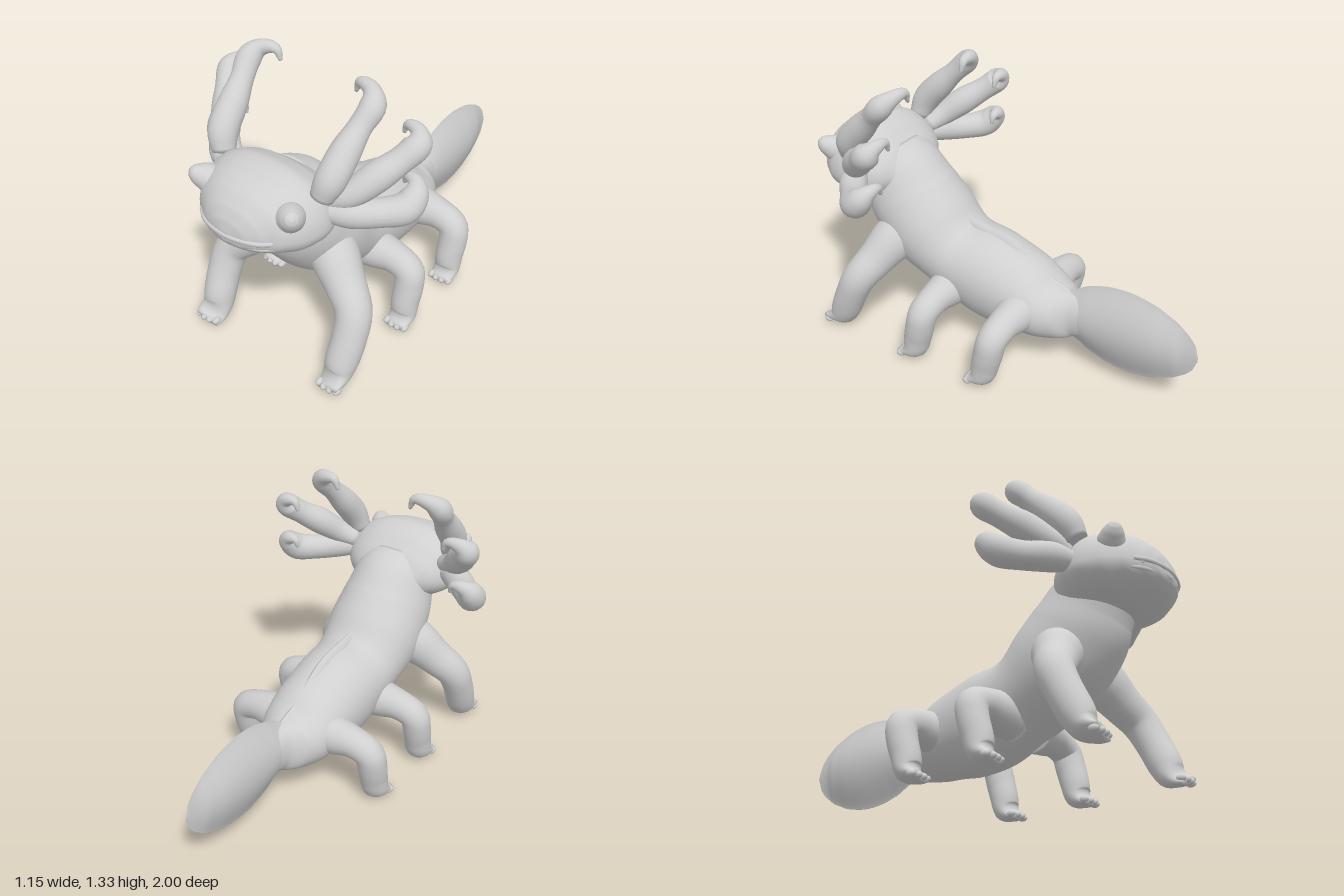
import * as THREE from 'three';

const skin = new THREE.MeshStandardMaterial({ color: 0xcfcfcf });
skin.name = 'grey skin';

function add(parent, name, geometry) {
  const mesh = new THREE.Mesh(geometry, skin);
  mesh.name = name;
  parent.add(mesh);
  return mesh;
}

// Smooth skin through sections [x, y, z, half width, height up, height down].
// power 1 gives an ellipse, above 1 a sharp-edged blade.
function sweep(sections, { ref = [1, 0, 0], power = 1, rings = 48, sides = 32 } = {}) {
  const path = new THREE.CatmullRomCurve3(sections.map(s => new THREE.Vector3(s[0], s[1], s[2])));
  const size = new THREE.CatmullRomCurve3(
    sections.map(s => new THREE.Vector3(s[3], s[4] ?? s[3], s[5] ?? s[4] ?? s[3])), false, 'catmullrom', 0.4);
  const side = new THREE.Vector3(...ref), positions = [], index = [];
  for (let i = -1; i <= rings + 1; i++) {
    const t = Math.min(Math.max(i / rings, 0), 1);
    const cap = i < 0 || i > rings ? 0 : 1;
    const p = path.getPoint(t), tangent = path.getTangent(t), r = size.getPoint(t);
    side.addScaledVector(tangent, -side.dot(tangent)).normalize();
    const up = side.clone().cross(tangent);
    for (let j = 0; j < sides; j++) {
      const a = j / sides * Math.PI * 2, c = Math.cos(a), s = Math.sin(a);
      const w = Math.sign(c) * Math.abs(c) ** power * Math.max(r.x, 0) * cap;
      const h = s * Math.max(s > 0 ? r.y : r.z, 0) * cap;
      const v = p.clone().addScaledVector(side, w).addScaledVector(up, h);
      positions.push(v.x, v.y, v.z);
    }
  }
  for (let i = 0; i < rings + 2; i++) {
    for (let j = 0; j < sides; j++) {
      const k = (j + 1) % sides;
      const a = i * sides + j, b = i * sides + k, c = a + sides, d = b + sides;
      index.push(a, c, b, b, c, d);
    }
  }
  const g = new THREE.BufferGeometry();
  g.setAttribute('position', new THREE.Float32BufferAttribute(positions, 3));
  g.setIndex(index);
  g.computeVertexNormals();
  return g;
}

const mirror = (sections, s) => sections.map(([x, ...rest]) => [x * s, ...rest]);

// Leg with four small toes at the front of the foot
function leg(parent, name, sections, s) {
  const group = new THREE.Group();
  group.name = name;
  add(group, 'limb', sweep(mirror(sections, s), { ref: [0, 0, 1], rings: 36, sides: 24 }));
  const [fx, , fz] = sections[sections.length - 1];
  for (let i = 0; i < 4; i++) {
    const u = (i - 1.5) / 1.5;
    const toe = add(group, 'toe', new THREE.SphereGeometry(0.016, 12, 8));
    toe.scale.set(1, 1, 1.5);
    toe.position.set(s * fx + u * 0.048, 0.028, fz - 0.004 - Math.abs(u) * 0.012);
  }
  parent.add(group);
}

export function createModel() {
  const model = new THREE.Group();
  model.name = 'salamander';

  // Neck, chest, belly and tail root
  add(model, 'body', sweep([
    [0, 0.83, 0.69, 0.19, 0.17, 0.15],
    [0, 0.74, 0.61, 0.205, 0.215, 0.19],
    [0, 0.64, 0.54, 0.225, 0.235, 0.215],
    [0, 0.53, 0.43, 0.235, 0.23, 0.225],
    [0, 0.425, 0.27, 0.215, 0.192, 0.2],
    [0, 0.37, 0.08, 0.21, 0.215, 0.235],
    [0, 0.33, -0.1, 0.2, 0.195, 0.213],
    [0, 0.295, -0.23, 0.185, 0.155, 0.158],
    [0, 0.29, -0.32, 0.14, 0.13, 0.135],
    [0, 0.295, -0.38, 0.075, 0.118],
    [0, 0.295, -0.46, 0.055, 0.1],
    [0, 0.3, -0.57, 0.02, 0.05],
  ], { rings: 88, sides: 48 }));

  // Broad head, widest low at the cheeks
  add(model, 'head', sweep([
    [0, 0.81, 0.99, 0.025, 0.02, 0.025],
    [0, 0.81, 0.975, 0.1, 0.07, 0.05],
    [0, 0.81, 0.945, 0.16, 0.12, 0.075],
    [0, 0.81, 0.89, 0.23, 0.17, 0.1],
    [0, 0.81, 0.81, 0.285, 0.203, 0.126],
    [0, 0.81, 0.72, 0.305, 0.217, 0.13],
    [0, 0.81, 0.64, 0.285, 0.185, 0.13],
    [0, 0.81, 0.57, 0.235, 0.13, 0.11],
    [0, 0.81, 0.51, 0.15, 0.06, 0.06],
  ], { rings: 56, sides: 48, power: 0.84 }));

  // Two lips with the mouth slit and small teeth between them
  const lip = new THREE.CatmullRomCurve3([[-0.19, 0.912], [-0.13, 0.955], [0, 0.982], [0.13, 0.955], [0.19, 0.912]]
    .map(([x, z]) => new THREE.Vector3(x, 0, z)));
  for (const [name, y, z] of [['upperLip', 0.813, 0.005], ['lowerLip', 0.778, -0.01]]) {
    add(model, name, new THREE.TubeGeometry(lip, 32, 0.011, 10)).position.set(0, y, z);
  }
  for (const t of [0.12, 0.25, 0.38, 0.62, 0.75, 0.88]) {
    const tooth = add(model, 'tooth', new THREE.SphereGeometry(0.007, 8, 6));
    tooth.position.copy(lip.getPointAt(t)).y = 0.8;
    tooth.scale.x = 2;
  }

  // Low ridge along the spine
  add(model, 'backRidge', sweep([
    [0, 0.66, 0.33, 0.01, 0.025],
    [0, 0.595, 0.23, 0.02, 0.037],
    [0, 0.57, 0.12, 0.03, 0.045],
    [0, 0.545, 0.0, 0.03, 0.052],
    [0, 0.49, -0.12, 0.03, 0.045],
    [0, 0.43, -0.22, 0.03, 0.035],
    [0, 0.385, -0.35, 0.025, 0.035],
  ], { power: 2, rings: 32, sides: 16 }));

  // Tall, leaf-shaped tail fin
  add(model, 'tailFin', sweep([
    [0, 0.29, -0.34, 0.05, 0.125],
    [0, 0.295, -0.39, 0.06, 0.142],
    [0, 0.3, -0.47, 0.064, 0.185],
    [0, 0.303, -0.57, 0.066, 0.213],
    [0, 0.303, -0.67, 0.065, 0.219],
    [0, 0.303, -0.78, 0.058, 0.2],
    [0, 0.303, -0.88, 0.038, 0.158],
    [0, 0.303, -0.94, 0.014, 0.115],
    [0, 0.303, -0.98, 0.005, 0.07],
    [0, 0.303, -1.0, 0.002, 0.015],
  ], { power: 2.6, rings: 56, sides: 40 }));

  const gills = {
    upperGill: [
      [0.26, 0.94, 0.70, 0.05], [0.285, 1.02, 0.67, 0.066], [0.295, 1.11, 0.59, 0.064],
      [0.308, 1.19, 0.51, 0.05], [0.32, 1.255, 0.445, 0.054], [0.285, 1.294, 0.405, 0.036],
      [0.22, 1.3, 0.39, 0.022], [0.197, 1.252, 0.39, 0.008]],
    middleGill: [
      [0.25, 0.89, 0.65, 0.04], [0.33, 0.93, 0.61, 0.056], [0.40, 1.0, 0.53, 0.066],
      [0.46, 1.06, 0.45, 0.056], [0.495, 1.115, 0.385, 0.058], [0.475, 1.15, 0.355, 0.034],
      [0.42, 1.155, 0.345, 0.02], [0.4, 1.112, 0.345, 0.008]],
    lowerGill: [
      [0.25, 0.85, 0.67, 0.045], [0.34, 0.85, 0.62, 0.064], [0.43, 0.843, 0.54, 0.062],
      [0.5, 0.855, 0.47, 0.067], [0.512, 0.9, 0.42, 0.056], [0.49, 0.932, 0.39, 0.034],
      [0.445, 0.935, 0.38, 0.02], [0.43, 0.9, 0.38, 0.008]],
  };
  const frontLeg = [
    [0.08, 0.57, 0.48, 0.1], [0.18, 0.49, 0.535, 0.11], [0.27, 0.405, 0.58, 0.092],
    [0.35, 0.325, 0.625, 0.082], [0.365, 0.22, 0.675, 0.077], [0.36, 0.125, 0.72, 0.075],
    [0.355, 0.065, 0.75, 0.06, 0.07], [0.355, 0.036, 0.79, 0.032, 0.068], [0.355, 0.026, 0.83, 0.017, 0.06]];
  const middleLeg = [
    [0.08, 0.31, 0.225, 0.11], [0.18, 0.31, 0.225, 0.092], [0.28, 0.307, 0.225, 0.074],
    [0.362, 0.275, 0.23, 0.07], [0.373, 0.2, 0.245, 0.069], [0.37, 0.125, 0.265, 0.066],
    [0.37, 0.062, 0.28, 0.056, 0.064], [0.37, 0.034, 0.315, 0.03, 0.062], [0.37, 0.026, 0.352, 0.017, 0.054]];
  const hindLeg = middleLeg.map(([x, y, z, ...r]) => [x * 0.97, y, z - 0.385, ...r]);

  // Paired parts
  for (const [s, label] of [[1, 'left'], [-1, 'right']]) {
    add(model, label + 'Eye', sweep(mirror([
      [0.185, 0.88, 0.81, 0.07], [0.222, 0.912, 0.843, 0.06], [0.246, 0.932, 0.866, 0.046],
      [0.263, 0.948, 0.882, 0.028], [0.27, 0.954, 0.888, 0.01],
    ], s), { rings: 20, sides: 24 }));
    for (const [name, sections] of Object.entries(gills)) {
      add(model, label + ' ' + name, sweep(mirror(sections, s), { rings: 36, sides: 20 }));
    }
    leg(model, label + 'FrontLeg', frontLeg, s);
    leg(model, label + 'MiddleLeg', middleLeg, s);
    leg(model, label + 'HindLeg', hindLeg, s);
  }
  return model;
}
